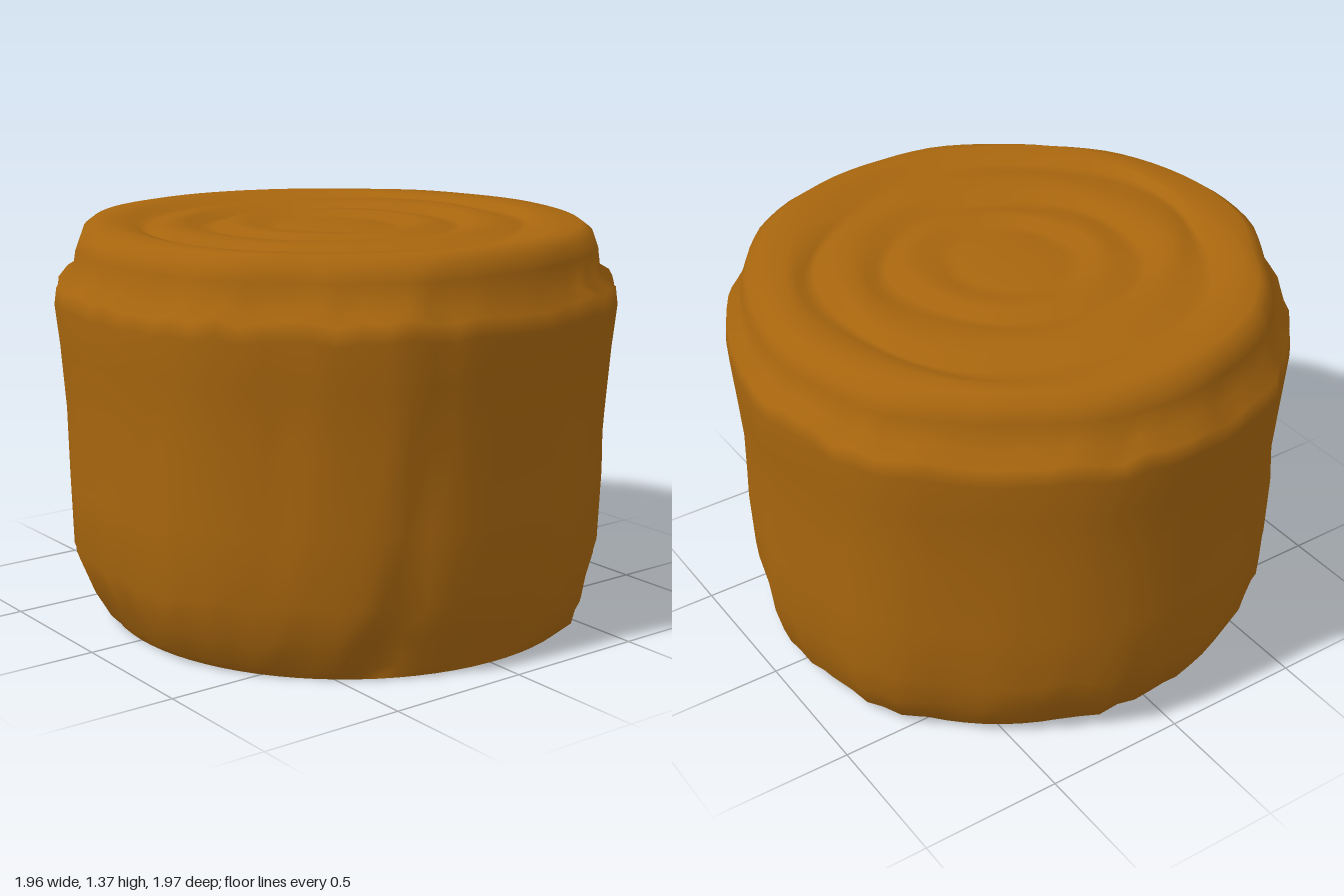
import * as THREE from 'three';

const SIDES = 80;
const wood = new THREE.MeshStandardMaterial({ color: 0xa8660e, roughness: 1 });

// seeded random numbers
function seeded(seed) {
  return () => {
    seed = (seed * 16807) % 2147483647;
    return seed / 2147483647;
  };
}

// bark outline, radius every 15 degrees from +x towards +z
const OUTLINE = [0.98, 0.99, 0.965, 0.96, 0.99, 0.99, 0.99, 0.985, 0.95, 0.975, 0.99, 0.985,
  0.995, 0.99, 0.97, 0.975, 1.005, 0.99, 0.995, 0.985, 0.99, 1.0, 0.995, 0.99];

function outline(a) {
  const n = OUTLINE.length;
  const t = (a / (Math.PI * 2)) * n;
  const i = Math.floor(t) % n;
  return THREE.MathUtils.lerp(OUTLINE[i], OUTLINE[(i + 1) % n], t - Math.floor(t));
}

// closed skin through rings of points; the last ring is closed by a centre point
function skin(name, rings, point, centreY) {
  const pos = [], index = [];
  rings.forEach((ring, j) => {
    for (let i = 0; i < SIDES; i++) {
      const a = (i / SIDES) * Math.PI * 2;
      const [r, y] = point(ring, a, i, j);
      pos.push(r * Math.cos(a), y, r * Math.sin(a));
      const n = (i + 1) % SIDES, p = j * SIDES;
      if (j < rings.length - 1) {
        index.push(p + i, p + SIDES + i, p + n, p + n, p + SIDES + i, p + SIDES + n);
      } else {
        index.push(p + i, rings.length * SIDES, p + n);
      }
    }
  });
  pos.push(0, centreY, 0);
  const geo = new THREE.BufferGeometry();
  geo.setAttribute('position', new THREE.Float32BufferAttribute(pos, 3));
  geo.setIndex(index);
  geo.computeVertexNormals();
  const mesh = new THREE.Mesh(geo, wood);
  mesh.name = name;
  return mesh;
}

export function createModel() {
  const group = new THREE.Group();
  group.name = 'log';
  const rand = seeded(77);

  // vertical bark furrows (in strips of several sides), and ragged bark edges
  const strip = [], rag = [];
  let level = 0, left = 0;
  for (let i = 0; i < SIDES; i++) {
    if (left-- <= 0) {
      level = rand();
      left = 1 + Math.floor(rand() * 4);
    }
    strip.push(level);
    rag.push(rand());
  }

  // uneven foot: the trunk leans out a little towards +x and -z at the ground
  const foot = a => 0.835 + 0.04 * Math.cos(a + 0.8);

  // side, rim and top: [radius, height, furrow depth, raggedness in height]
  const rings = [
    [0, 0, 0.02, 0], [0.885, 0.04, 0.03, 0.03], [0.93, 0.14, 0.04, 0.05],
    [0.962, 0.27, 0.028, 0.06], [0.968, 0.5, 0.025, 0], [0.968, 0.75, 0.028, 0],
    [0.983, 0.97, 0.025, 0], [1, 1.12, 0.03, 0.03], [0.992, 1.18, 0.03, 0.04],
    [0.932, 1.21, 0.015, 0.02], [0.915, 1.29, 0.01, 0], [0.895, 1.34, 0.008, 0],
    [0.85, 1.368, 0, 0], [0.79, 1.37, 0, 0], [0.73, 1.365, 0, 0], [0.7, 1.343, 0, 0],
    [0.66, 1.342, 0, 0], [0.6, 1.362, 0, 0], [0.54, 1.365, 0, 0], [0.48, 1.36, 0, 0],
    [0.44, 1.338, 0, 0], [0.4, 1.338, 0, 0], [0.35, 1.358, 0, 0], [0.29, 1.36, 0, 0],
    [0.24, 1.34, 0, 0], [0.19, 1.342, 0, 0], [0.12, 1.354, 0, 0],
  ];
  group.add(skin('barkAndTop', rings, ([r, y, depth, ragged], a, i, j) => {
    if (j === 0) return [foot(a), 0];
    // furrows drift sideways as they climb
    const k = (i + Math.round(y * 2)) % SIDES;
    const lean = y < 0.2 ? (foot(a) - 0.835) * (1 - y * 5) : 0;
    const wobble = y > 1.3 && r < 0.8 ? 1 + 0.035 * Math.sin(a * 2 + r * 9) + 0.02 * Math.sin(a * 5 + r * 20) : 1;
    const shape = r < 0.8 ? 1 : outline(a) + 0.01;
    return [
      (r * shape + lean - depth * (1 - strip[k])) * wobble,
      y + ragged * (rag[i] - 0.6) * 0.8,
    ];
  }, 1.348));

  // underside with faint growth rings, running from the centre outwards
  const base = [[0.3, 0.008], [0.25, 0.002], [0.55, 0.003], [0.6, 0.009], [0.65, 0.002], [1, 0]];
  const under = skin('underside', [base[5], base[4], base[3], base[2], base[0], base[1]],
    ([r, y], a) => [r === 1 ? foot(a) : r * (1 + 0.04 * Math.sin(a * 3 + r * 8)), y], 0.003);
  group.add(under);
  // turn the underside's faces downwards
  const ix = under.geometry.index;
  for (let t = 0; t < ix.count; t += 3) {
    const b = ix.getX(t + 1);
    ix.setX(t + 1, ix.getX(t + 2));
    ix.setX(t + 2, b);
  }
  under.geometry.computeVertexNormals();

  return group;
}
